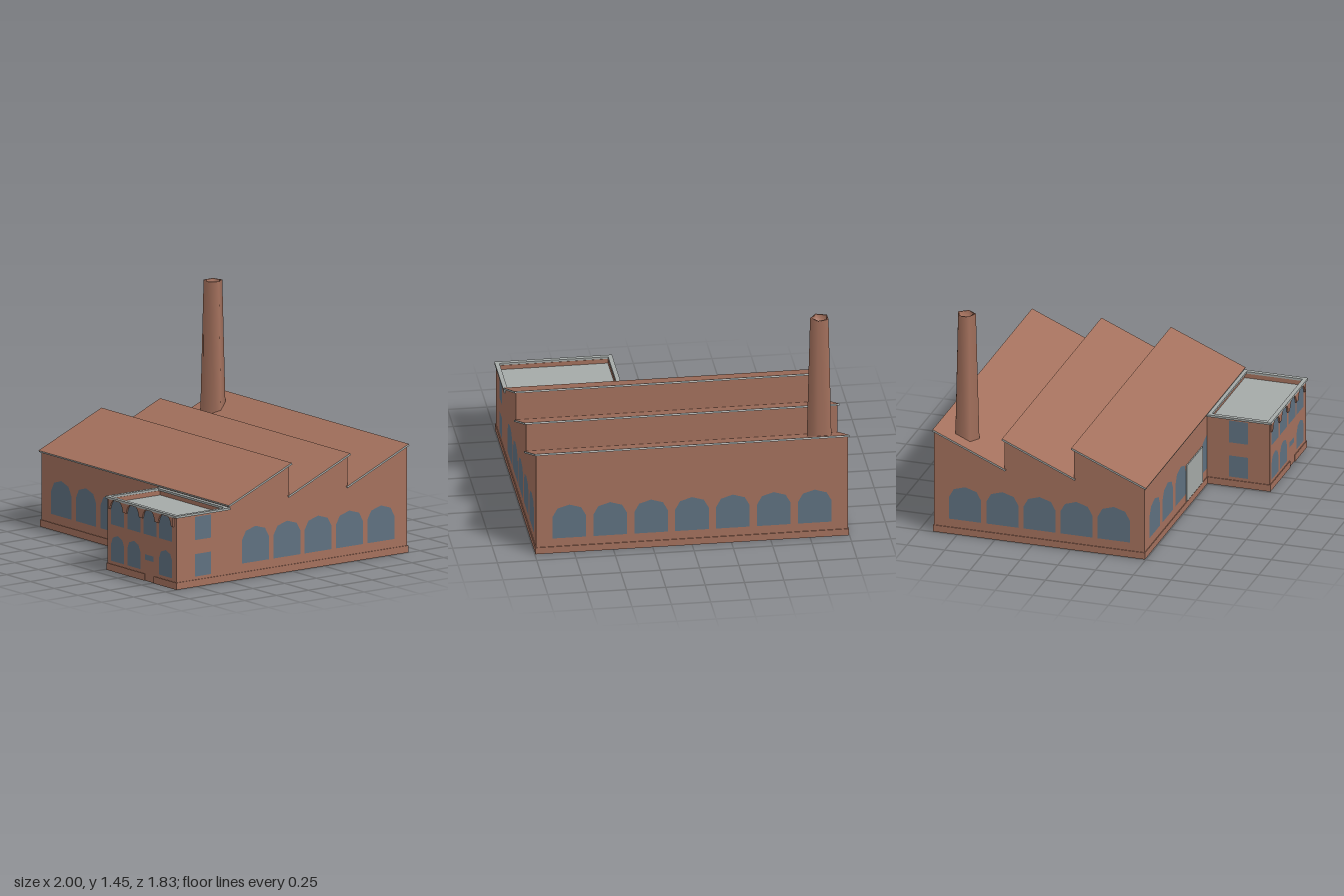
import * as THREE from 'three';

const mat = (name, color) => {
  const m = new THREE.MeshStandardMaterial({ color, side: THREE.DoubleSide });
  m.name = name;
  return m;
};

export function createModel() {
  const brick = mat('brick', 0xa4715d);
  const grey = mat('grey', 0xa5aaa8);
  const glass = mat('glass', 0x5f7180);
  const model = new THREE.Group();

  const add = (name, geo, material, parent = model) => {
    const m = new THREE.Mesh(geo, material);
    m.name = name;
    parent.add(m);
    return m;
  };
  // box from its minimum and maximum corners
  const box = (name, material, x0, x1, y0, y1, z0, z1) => {
    const m = add(name, new THREE.BoxGeometry(x1 - x0, y1 - y0, z1 - z0), material);
    m.position.set((x0 + x1) / 2, (y0 + y1) / 2, (z0 + z1) / 2);
    return m;
  };
  const pts = (list) => list.map(([x, y]) => new THREE.Vector2(x, y));

  // window outlines
  const rect = (c, w, y0, y1) => pts([[c - w / 2, y0], [c + w / 2, y0], [c + w / 2, y1], [c - w / 2, y1]]);
  const arch = (c, w, y0, spring, top) => {
    const list = [[c - w / 2, y0], [c + w / 2, y0]];
    for (let i = 0; i <= 4; i++) {
      const a = (i / 4) * Math.PI;
      list.push([c + Math.cos(a) * w / 2, spring + Math.sin(a) * (top - spring)]);
    }
    return pts(list);
  };
  const hallWindow = (c) => arch(c, 0.213, 0.1, 0.25, 0.33);

  // flat wall with holes, each filled by a pane
  const wall = (name, outline, windows, x, z, turned) => {
    const g = new THREE.Group();
    g.name = name;
    const shape = new THREE.Shape(pts(outline));
    shape.holes = windows.map((w) => new THREE.Path(w));
    add(name + 'Brick', new THREE.ShapeGeometry(shape), brick, g);
    windows.forEach((w) => add('windowPane', new THREE.ShapeGeometry(new THREE.Shape(w)), glass, g));
    g.position.set(x, 0, z);
    if (turned) g.rotation.y = -Math.PI / 2; // outline x runs along z
    model.add(g);
  };
  const span = (a, b, h) => [[a, 0], [b, 0], [b, h], [a, h]];

  // main hall walls
  const W = 0.99, front = 0.488, back = -0.905;
  const row = [-0.78, -0.52, -0.26, 0, 0.26, 0.52, 0.78];
  wall('hallFront', span(-W, W, 0.482), row.filter((c) => c !== 0).map(hallWindow), 0, front, false);
  wall('hallBack', span(-W, W, 0.685), row.map(hallWindow), 0, back, false);
  const profile = [[back, 0], [front, 0], [front, 0.482], [0.02, 0.682], [0.02, 0.485],
    [-0.44, 0.682], [-0.44, 0.485], [back, 0.685]];
  const sideRow = [0.285, 0.037, -0.207, -0.453, -0.7];
  for (const s of [1, -1]) wall(s > 0 ? 'hallLeft' : 'hallRight', profile, sideRow.map(hallWindow), s * W, 0, true);

  // sawtooth roof: brick top over a grey slab, with an upright behind each tooth
  [[0.5, 0.005], [0.03, -0.455], [-0.43, -0.915]].forEach(([z0, z1], i) => {
    const run = z0 - z1, len = Math.hypot(run, 0.21);
    const g = new THREE.Group();
    g.name = 'roofTooth';
    g.position.set(0, 0.59, (z0 + z1) / 2);
    g.rotation.x = Math.atan2(0.21, run);
    add('roofSlab', new THREE.BoxGeometry(2, 0.012, len), [grey, grey, brick, grey, grey, grey], g);
    model.add(g);
    if (i < 2) {
      const upright = add('toothUpright', new THREE.PlaneGeometry(2 * W, 0.2), brick);
      upright.position.set(0, 0.585, z1 + 0.015);
    }
  });

  // large front door
  box('door', grey, -0.16, 0.16, 0.05, 0.295, front + 0.001, front + 0.008);

  // annex walls
  const aL = 0.265, aF = 0.905, aH = 0.462;
  const bays = [0.37, 0.541, 0.709, 0.875];
  const annexWindows = bays.map((c) => rect(c, 0.138, 0.3, 0.455));
  [0, 1, 3].forEach((i) => annexWindows.push(arch(bays[i], 0.138, 0.065, 0.175, 0.235)));
  annexWindows.push(rect(0.705, 0.09, 0.135, 0.17));
  wall('annexFront', span(aL, W, aH), annexWindows, 0, aF, false);
  const sideWindows = () => [rect(0.697, 0.125, 0.3, 0.45), rect(0.697, 0.125, 0.065, 0.21)];
  wall('annexLeft', span(front, aF, aH), sideWindows(), W, 0, true);
  wall('annexRight', span(front, aF, aH), sideWindows(), aL, 0, true);

  // annex roof floor, parapet lining and coping
  box('annexRoof', grey, aL + 0.004, W - 0.004, 0.425, 0.432, front + 0.002, aF - 0.004);
  const ring = (name, material, x0, x1, z0, z1, t, y, h) => {
    const shape = new THREE.Shape(pts([[x0, -z1], [x1, -z1], [x1, -z0], [x0, -z0]]));
    shape.holes.push(new THREE.Path(pts([[x0 + t, -z1 + t], [x1 - t, -z1 + t], [x1 - t, -z0 - t], [x0 + t, -z0 - t]])));
    const m = add(name, new THREE.ExtrudeGeometry(shape, { depth: h, bevelEnabled: false }), material);
    m.rotation.x = -Math.PI / 2;
    m.position.y = y;
  };
  ring('parapetLining', brick, aL + 0.003, W - 0.003, front + 0.003, aF - 0.003, 0.015, 0.432, 0.029);
  ring('coping', grey, 0.253, 1, 0.49, 0.917, 0.028, 0.461, 0.014);

  // corbels flaring up between the upper annex windows
  const corbel = (c, l, r) => {
    const s = new THREE.Shape();
    s.moveTo(c - l * 0.018, 0.4);
    s.lineTo(c + r * 0.018, 0.4);
    if (r) s.quadraticCurveTo(c + 0.024, 0.44, c + 0.052, 0.461);
    else s.lineTo(c, 0.461);
    if (l) {
      s.lineTo(c - 0.052, 0.461);
      s.quadraticCurveTo(c - 0.024, 0.44, c - 0.018, 0.4);
    } else s.lineTo(c, 0.461);
    const m = add('corbel', new THREE.ExtrudeGeometry(s, { depth: 0.01, bevelEnabled: false, curveSegments: 4 }), brick);
    m.position.z = aF;
  };
  [0.456, 0.625, 0.791].forEach((c) => corbel(c, 1, 1));
  corbel(0.284, 0, 1);
  corbel(0.962, 1, 0);

  // plinth around the foot of the walls, open at the small annex doorway
  const ph = 0.045, p = 0.006;
  box('plinthBack', brick, -W - p, W + p, 0, ph, back - p, back - 0.001);
  box('plinthLeft', brick, W + 0.001, W + p, 0, ph, back - p, aF + p);
  box('plinthRight', brick, -W - p, -W - 0.001, 0, ph, back - p, front + p);
  box('plinthFront', brick, -W - p, aL, 0, ph, front + 0.001, front + p);
  box('plinthAnnexRight', brick, aL - p, aL - 0.001, 0, ph, front, aF + p);
  box('plinthAnnexFront', brick, aL - p, 0.66, 0, ph, aF + 0.001, aF + p);
  box('plinthAnnexFront', brick, 0.755, W + p, 0, ph, aF + 0.001, aF + p);

  // five-sided tapering chimney with a hollow top
  const flue = pts([[0.099, 0], [0.062, 1.452], [0.05, 1.452], [0.05, 1.4], [0, 1.4]]);
  const chimney = add('chimney', new THREE.LatheGeometry(flue, 5, Math.PI / 2), brick);
  chimney.position.set(-0.835, 0, -0.745);

  return model;
}
